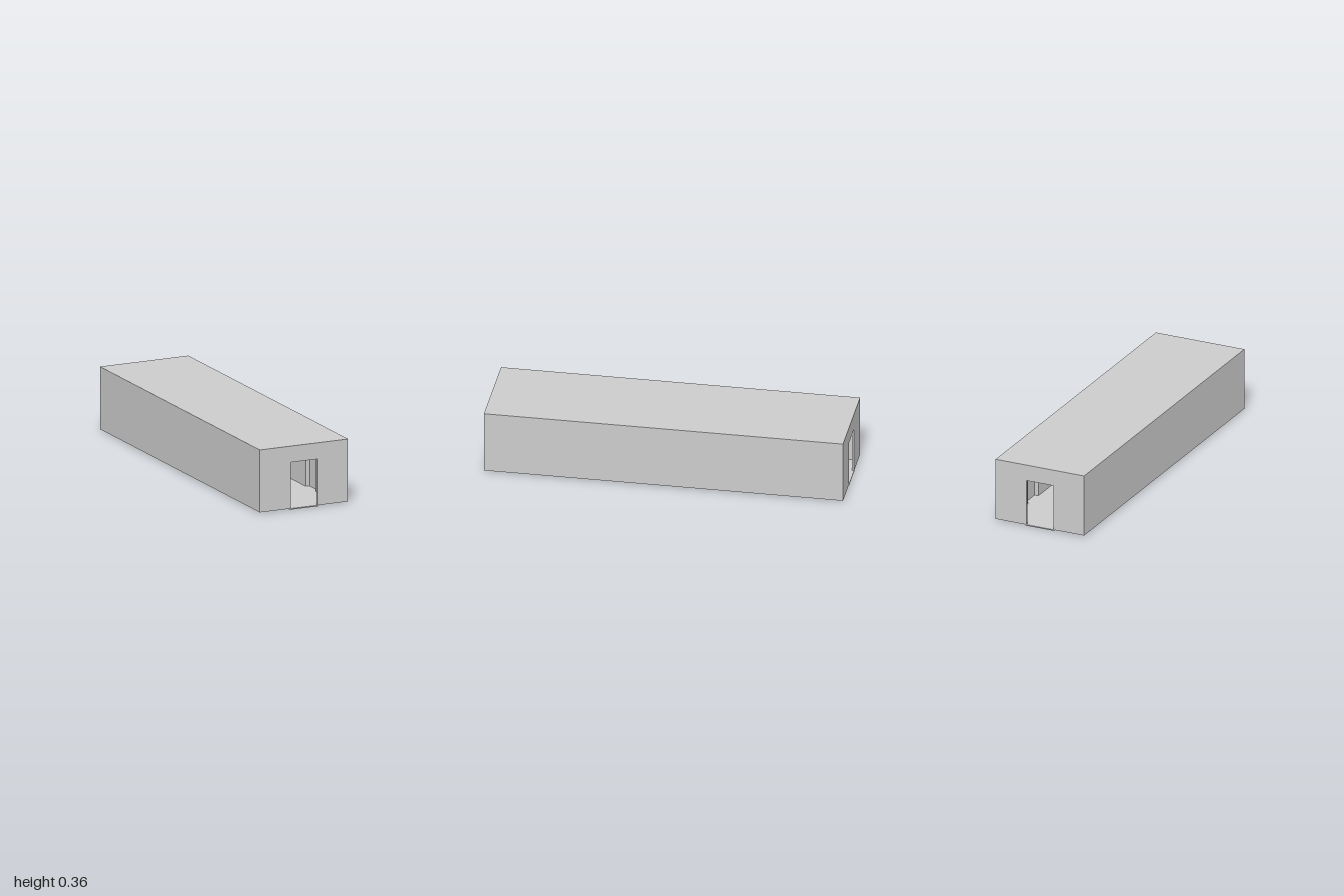
import * as THREE from 'three';
import { mergeGeometries } from 'three/addons/utils/BufferGeometryUtils.js';

const HALF_W = 0.27, TOP = 0.36, BASE = 0.006;       // outer shell
const ROOM_W = 0.203, ROOM_Z = 0.987, CEILING = 0.352; // inner hall
const DOOR_W = 0.087, DOOR_TOP = 0.27;
const NICHE_DEPTH = 0.023, NICHE_HALF = 0.064;

const material = new THREE.MeshStandardMaterial({ color: 0xcccccc, side: THREE.DoubleSide });

function addMesh(parent, name, geometry) {
  const mesh = new THREE.Mesh(geometry, material);
  mesh.name = name;
  parent.add(mesh);
  return mesh;
}

const shapeOf = (points) => new THREE.Shape(points.map(([x, y]) => new THREE.Vector2(x, y)));

// Upright wall between two plan points
function wallGeometry([x1, z1], [x2, z2], bottom, top) {
  const dx = x2 - x1, dz = z2 - z1;
  const geometry = new THREE.PlaneGeometry(Math.hypot(dx, dz), top - bottom);
  geometry.rotateY(Math.atan2(-dz, dx));
  return geometry.translate((x1 + x2) / 2, (bottom + top) / 2, (z1 + z2) / 2);
}

// End wall with a doorway cut up from its lower edge
function endWallGeometry(halfWidth, top, z) {
  const geometry = new THREE.ShapeGeometry(shapeOf([
    [-halfWidth, BASE], [-DOOR_W, BASE], [-DOOR_W, DOOR_TOP], [DOOR_W, DOOR_TOP],
    [DOOR_W, BASE], [halfWidth, BASE], [halfWidth, top], [-halfWidth, top],
  ]));
  if (z < 0) geometry.rotateY(Math.PI);
  return geometry.translate(0, 0, z);
}

// One long side of the hall, stepping out at three niches
function sideOutline(side) {
  const points = [[side * ROOM_W, -ROOM_Z]];
  for (const z of [-0.667, 0, 0.667]) {
    const inner = side * ROOM_W, outer = side * (ROOM_W + NICHE_DEPTH);
    points.push([inner, z - NICHE_HALF], [outer, z - NICHE_HALF],
      [outer, z + NICHE_HALF], [inner, z + NICHE_HALF]);
  }
  points.push([side * ROOM_W, ROOM_Z]);
  return points;
}

export function createModel() {
  const model = new THREE.Group();
  model.name = 'hall';

  // Outer shell, open underneath
  const roof = new THREE.PlaneGeometry(HALF_W * 2, 2).rotateX(-Math.PI / 2).translate(0, TOP, 0);
  addMesh(model, 'roof', roof);
  for (const side of [-1, 1]) {
    const x = side * HALF_W;
    addMesh(model, side > 0 ? 'leftOuterWall' : 'rightOuterWall',
      wallGeometry([x, side], [x, -side], BASE, TOP));
  }

  // Floor and ceiling share the niche plan
  const left = sideOutline(1), right = sideOutline(-1);
  const plan = shapeOf([...left, ...right.slice().reverse()]);
  for (const [name, y, turn] of [['floor', BASE, -1], ['ceiling', CEILING, 1]]) {
    const geometry = new THREE.ShapeGeometry(plan).rotateX(turn * Math.PI / 2);
    addMesh(model, name, geometry.translate(0, y, 0));
  }

  // Inner side walls follow the plan
  for (const [name, outline] of [['leftInnerWall', left], ['rightInnerWall', right.reverse()]]) {
    const panels = outline.slice(1).map((point, i) => wallGeometry(outline[i], point, BASE, CEILING));
    addMesh(model, name, mergeGeometries(panels));
  }

  // End walls and door frames, front and back
  for (const end of [1, -1]) {
    const label = end > 0 ? 'front' : 'back';
    addMesh(model, label + 'OuterWall', endWallGeometry(HALF_W, TOP, end));
    addMesh(model, label + 'InnerWall', endWallGeometry(ROOM_W, CEILING, end * ROOM_Z));

    const frame = new THREE.Group();
    frame.name = label + 'DoorFrame';
    const depth = 1 - ROOM_Z, z = end * (1 + ROOM_Z) / 2, jamb = 0.005;
    for (const side of [-1, 1]) {
      addMesh(frame, 'jamb', new THREE.BoxGeometry(jamb, DOOR_TOP - BASE, depth))
        .position.set(side * (DOOR_W - jamb / 2), (DOOR_TOP + BASE) / 2, z);
    }
    addMesh(frame, 'lintel', new THREE.BoxGeometry(DOOR_W * 2, 0.002, depth))
      .position.set(0, DOOR_TOP - 0.001, z);
    addMesh(frame, 'sill', new THREE.BoxGeometry(DOOR_W * 2 + 0.002, BASE, depth))
      .position.set(0, BASE / 2, z);
    model.add(frame);
  }
  return model;
}
